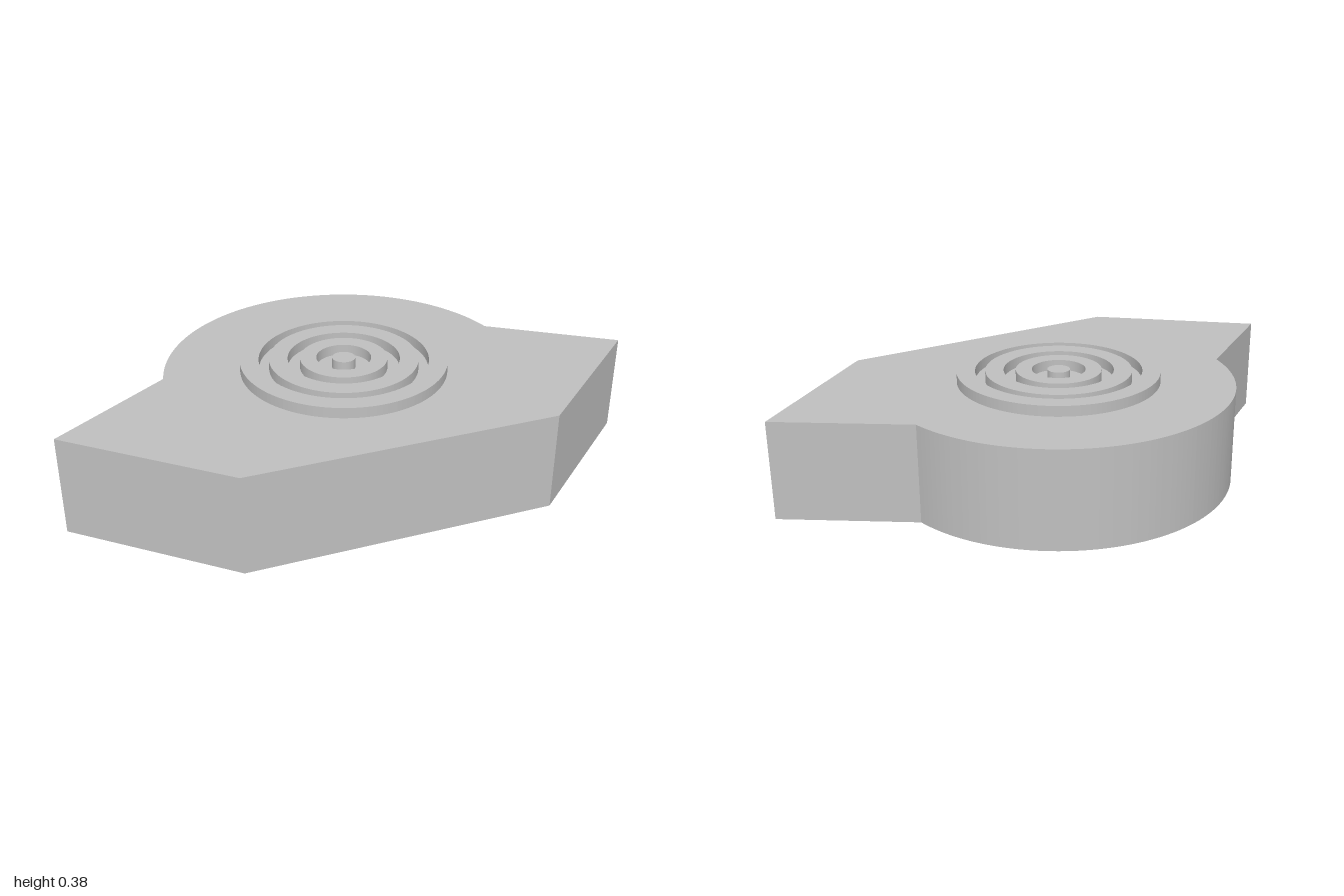
import * as THREE from 'three';

const DECK = 0.345, TOP = 0.382, CENTRE_Z = 0.03;

// Extrude a plan shape (x, -z) upwards from y0 to y1
function slab(name, shape, y0, y1, segments, material) {
  const geometry = new THREE.ExtrudeGeometry(shape, { depth: y1 - y0, bevelEnabled: false, curveSegments: segments });
  geometry.rotateX(-Math.PI / 2).translate(0, y0, 0);
  const mesh = new THREE.Mesh(geometry, material);
  mesh.name = name;
  return mesh;
}

export function createModel() {
  const group = new THREE.Group();
  group.name = 'ringedPlate';
  const grey = new THREE.MeshStandardMaterial({ color: 0xc0c0c0 });
  grey.name = 'grey';

  // Body: flat front, pointed wings, round back
  const r = 0.615, a = Math.asin((0.095 + CENTRE_Z) / r);
  const body = new THREE.Shape();
  body.moveTo(-0.525, -0.583);
  body.lineTo(0.525, -0.583);
  body.lineTo(1, -0.177);
  body.absarc(0, -CENTRE_Z, r, a, Math.PI - a, false);
  body.lineTo(-1, -0.177);
  body.closePath();
  group.add(slab('body', body, 0, DECK, 40, grey));

  // Raised concentric rings
  [[0.355, 0.291], [0.256, 0.192], [0.15, 0.094]].forEach(([outer, inner], i) => {
    const ring = new THREE.Shape().absarc(0, -CENTRE_Z, outer, 0, Math.PI * 2, false);
    ring.holes.push(new THREE.Path().absarc(0, -CENTRE_Z, inner, 0, Math.PI * 2, true));
    group.add(slab('ring' + (i + 1), ring, DECK, TOP, 64, grey));
  });

  // Centre pin
  const pin = new THREE.Shape().absarc(0, -CENTRE_Z, 0.04, 0, Math.PI * 2, false);
  group.add(slab('centrePin', pin, DECK, TOP, 48, grey));

  return group;
}
